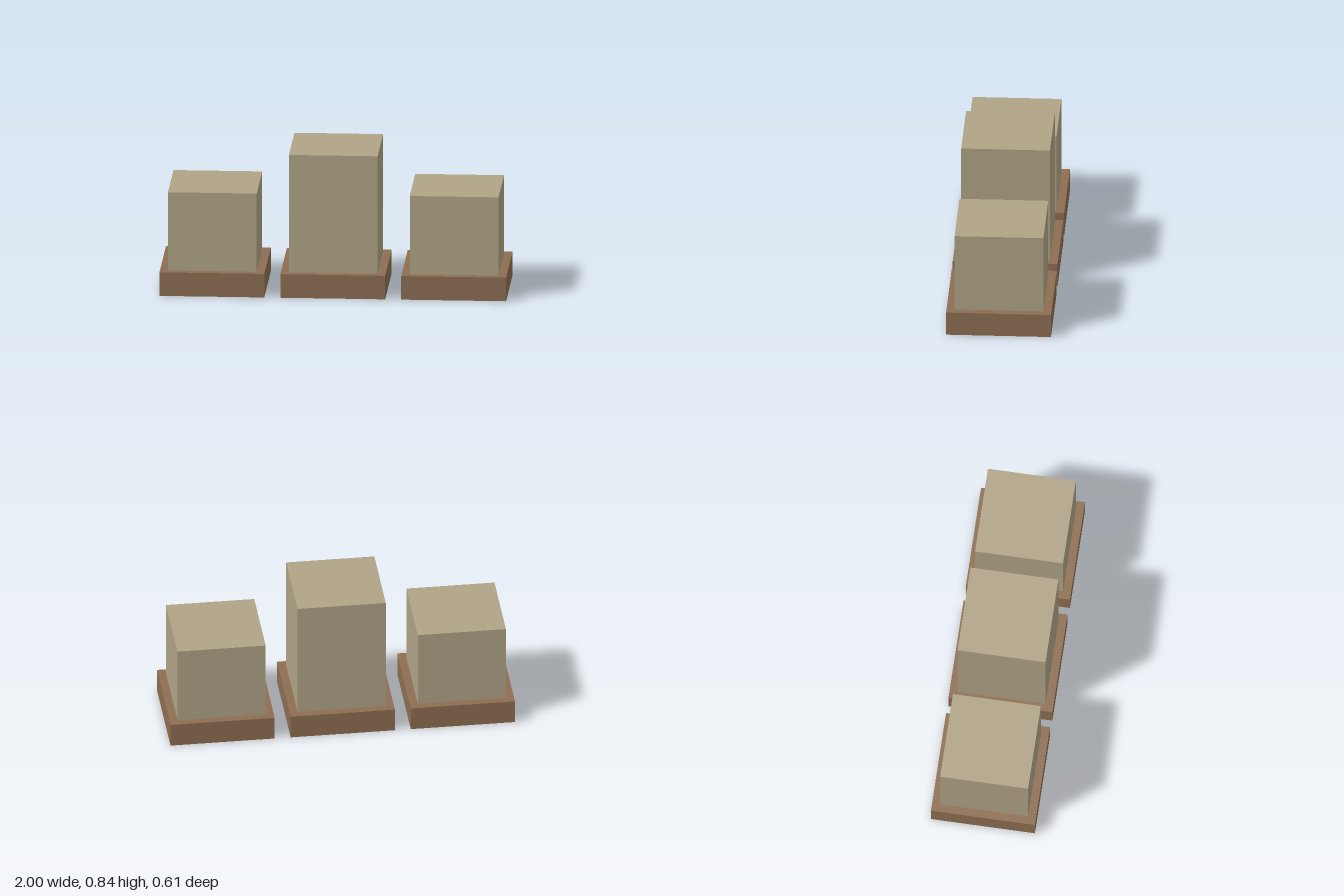
import * as THREE from 'three';

export function createModel() {
  const model = new THREE.Group();
  model.name = 'pedestalRow';

  const stone = new THREE.MeshStandardMaterial({ color: 0xb0a486 });
  stone.name = 'sandstone';
  const wood = new THREE.MeshStandardMaterial({ color: 0x8d6e52 });
  wood.name = 'brown';

  const baseSize = 0.605, baseHeight = 0.14, blockSize = 0.512;

  // Square box standing on height y
  function box(name, size, height, y, material) {
    const mesh = new THREE.Mesh(new THREE.BoxGeometry(size, height, size), material);
    mesh.name = name;
    mesh.position.y = y + height / 2;
    return mesh;
  }

  // Three pedestals: a low plinth with a block on top, the middle one taller
  const pedestals = [
    ['rightPedestal', -0.6975, 0.605],
    ['middlePedestal', 0, 0.838],
    ['leftPedestal', 0.6975, 0.605],
  ];
  for (const [name, x, top] of pedestals) {
    const pedestal = new THREE.Group();
    pedestal.name = name;
    pedestal.position.x = x;
    pedestal.add(
      box('plinth', baseSize, baseHeight, 0, wood),
      box('block', blockSize, top - baseHeight, baseHeight, stone),
    );
    model.add(pedestal);
  }
  return model;
}
